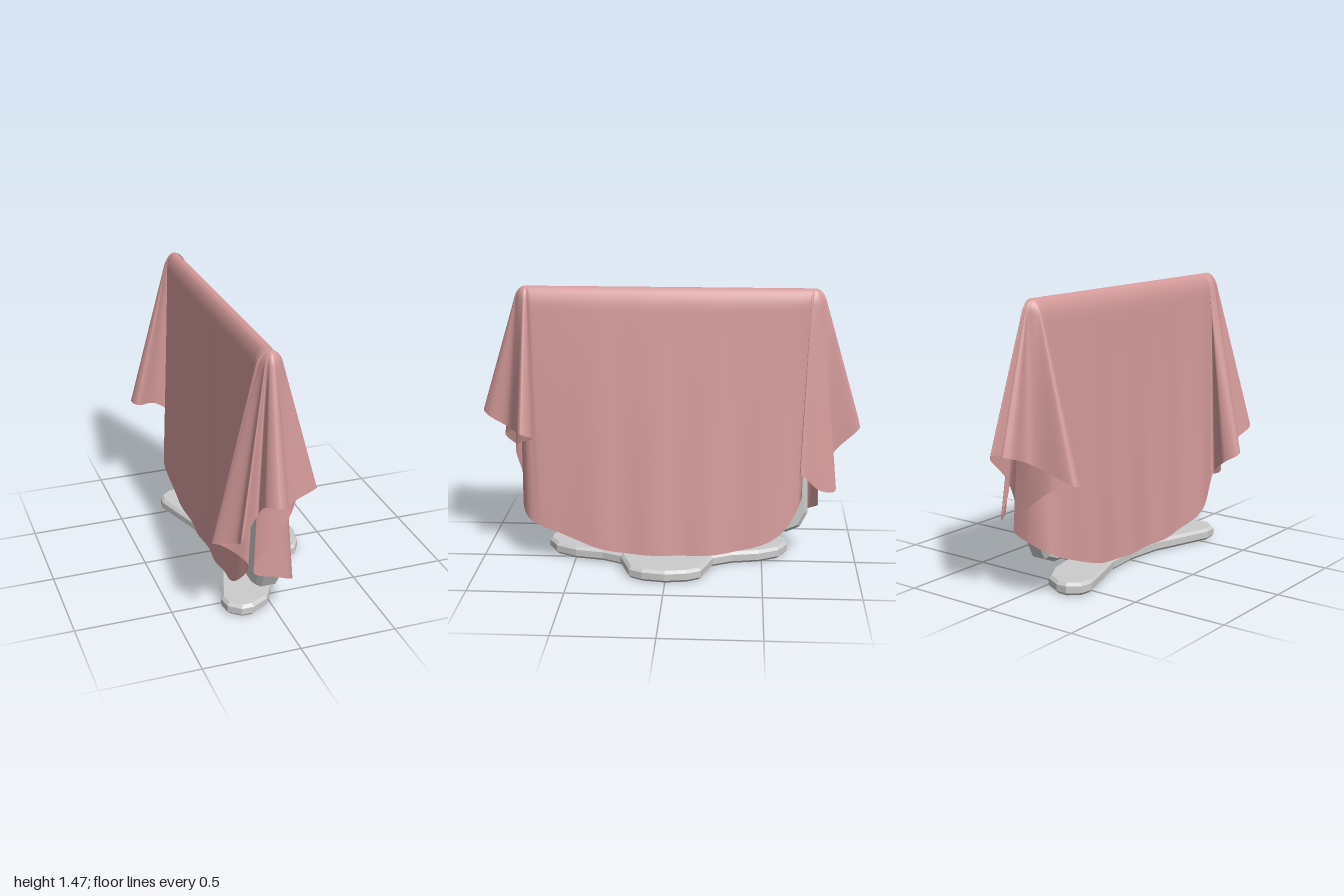
import * as THREE from 'three';

const grey = new THREE.MeshStandardMaterial({ color: 0xcccccc, flatShading: true });
const clothMat = new THREE.MeshStandardMaterial({ color: 0xd49a9a, side: THREE.DoubleSide });

const RIDGE_X = -0.08, RIDGE_Y = 1.465, RIDGE_Z = 0.75;

// Hem along a long side: lowest in the middle, rising toward both ends
function sideHem(x, flare, dir) {
  return [-1, -0.55, 0, 0.55, 1].map(k => new THREE.Vector3(
    x + flare * k * k, 0.07 + 0.1 * Math.abs(k) ** 3, 0.58 * k * dir
  ));
}

// Hem round an end: a wrapped panel, then the hanging pleats
const vectors = pts => pts.map(p => new THREE.Vector3(...p));
const frontHem = () => vectors([
  [0.05, 0.23, 0.74], [-0.05, 0.29, 0.79], [-0.17, 0.34, 0.79], [0.0, 0.62, 0.81],
  [0.10, 0.69, 0.71], [0.16, 0.73, 0.76], [-0.03, 0.72, 0.86], [-0.07, 0.77, 0.97],
  [-0.12, 0.79, 1.0], [-0.17, 0.78, 0.95], [-0.17, 0.68, 0.84], [-0.28, 0.60, 0.92],
  [-0.26, 0.53, 0.81], [-0.35, 0.48, 0.69], [-0.28, 0.43, 0.65], [-0.17, 0.34, 0.71],
]);
const backHem = () => vectors([
  [-0.17, 0.24, -0.74], [-0.08, 0.29, -0.79], [0.02, 0.34, -0.79], [-0.2, 0.56, -0.78],
  [-0.33, 0.60, -0.71], [-0.35, 0.61, -0.77], [-0.13, 0.70, -0.84], [-0.13, 0.75, -0.97],
  [-0.10, 0.76, -1.0], [-0.075, 0.74, -0.88], [-0.03, 0.75, -1.0], [-0.01, 0.58, -0.85],
  [0.02, 0.41, -0.88], [0.06, 0.42, -0.80], [0.14, 0.53, -0.69], [0.05, 0.36, -0.70],
]);

// Draped sheet lofted from the top ridge down to the hem
function clothGeometry(cols = 600, rows = 32) {
  const curve = new THREE.CatmullRomCurve3([
    ...sideHem(0.14, -0.05, 1), ...frontHem(), ...sideHem(-0.17, -0.02, -1), ...backHem(),
  ], true, 'centripetal');
  const pos = [], index = [];
  for (let i = 0; i <= cols; i++) {
    const p = curve.getPoint((i % cols) / cols);
    const topZ = THREE.MathUtils.clamp(p.z * 1.08, -RIDGE_Z, RIDGE_Z);
    const dx = p.x - RIDGE_X, dz = p.z - topZ;
    const len = Math.hypot(dx, dz) || 1;
    const side = Math.abs(topZ) < RIDGE_Z;
    for (let j = 0; j <= rows; j++) {
      const s = (j / rows) ** 2;
      // rounded shoulder over the screen edge, then a straight fall
      const t = Math.min(1, s / 0.08);
      const shoulder = (side ? 0.05 : 0.04) * Math.sqrt(t * (2 - t)) * (1 - s);
      const ripple = side ? 0.006 * Math.sin(p.z * 21) * s * (1 - (p.z / 0.75) ** 2) : 0;
      pos.push(
        RIDGE_X + dx * s + (dx / len) * shoulder + ripple,
        RIDGE_Y + (p.y - RIDGE_Y) * s,
        topZ + dz * s + (dz / len) * shoulder
      );
    }
  }
  const w = rows + 1;
  for (let i = 0; i < cols; i++) {
    for (let j = 0; j < rows; j++) {
      const a = i * w + j, b = a + w;
      index.push(a, b, a + 1, b, b + 1, a + 1);
    }
  }
  const g = new THREE.BufferGeometry();
  g.setAttribute('position', new THREE.Float32BufferAttribute(pos, 3));
  g.setIndex(index);
  g.computeVertexNormals();
  // smooth over the ridge and the closing seam
  const n = g.attributes.normal;
  for (let i = 0; i <= cols; i++) n.setXYZ(i * w, 0, 1, 0);
  for (let j = 1; j <= rows; j++) {
    const e = cols * w + j;
    const v = new THREE.Vector3(n.getX(j) + n.getX(e), n.getY(j) + n.getY(e), n.getZ(j) + n.getZ(e)).normalize();
    n.setXYZ(j, v.x, v.y, v.z);
    n.setXYZ(e, v.x, v.y, v.z);
  }
  return g;
}

const polygon = pts => new THREE.Shape(pts.map(p => new THREE.Vector2(...p)));

// Flat foot with two swept wings and a broad front lobe
function baseGeometry() {
  const half = [
    [0.35, 0], [0.33, 0.12], [0.29, 0.19], [0.11, 0.25], [0.06, 0.35], [0.03, 0.5],
    [-0.03, 0.61], [-0.12, 0.66], [-0.18, 0.66], [-0.24, 0.61], [-0.25, 0.54],
    [-0.20, 0.38], [-0.14, 0.2], [-0.12, 0],
  ];
  const other = half.slice(1, -1).reverse().map(([x, z]) => [x, -z * 0.97]);
  const g = new THREE.ExtrudeGeometry(polygon([...half, ...other]), {
    depth: 0.035, bevelThickness: 0.015, bevelSize: 0.015, bevelOffset: -0.015, bevelSegments: 1,
  });
  return g.rotateX(Math.PI / 2).translate(0, 0.05, 0);
}

// Screen slab with cut corners, thinner toward the top
function screenGeometry() {
  const half = [[0.63, 0.16], [0.7, 0.19], [0.74, 0.27], [0.71, 1.3], [0.66, 1.37]];
  const other = half.map(([z, y]) => [-z, y]).reverse();
  const g = new THREE.ExtrudeGeometry(polygon([...half, ...other]), {
    depth: 0.08, bevelThickness: 0.025, bevelSize: 0.02, bevelOffset: -0.02, bevelSegments: 1,
  });
  g.translate(0, 0, -0.04).rotateY(Math.PI / 2);
  const p = g.attributes.position;
  for (let i = 0; i < p.count; i++) {
    const k = 1 - 0.55 * p.getY(i) / 1.4;
    p.setX(i, p.getX(i) * k - 0.06);
  }
  g.computeVertexNormals();
  return g;
}

export function createModel() {
  const model = new THREE.Group();
  const add = (name, geometry, material) => {
    const mesh = new THREE.Mesh(geometry, material);
    mesh.name = name;
    model.add(mesh);
  };
  add('standBase', baseGeometry(), grey);
  add('standNeck', new THREE.BoxGeometry(0.12, 0.3, 0.3).translate(-0.02, 0.2, 0), grey);
  add('screen', screenGeometry(), grey);
  add('drapedCloth', clothGeometry(), clothMat);
  return model;
}
